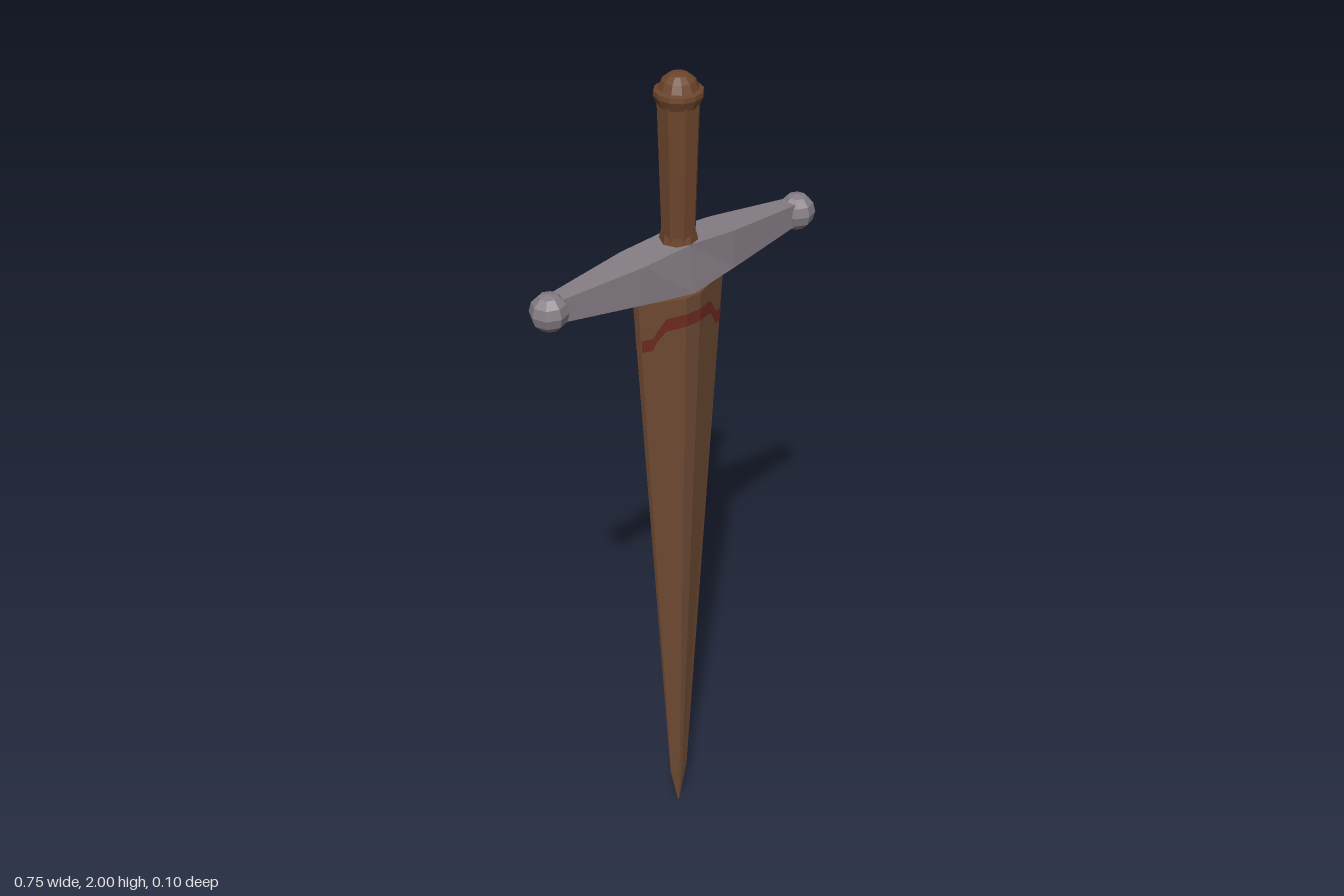
import * as THREE from 'three';

const mat = (name, color, side = THREE.FrontSide) => {
  const m = new THREE.MeshStandardMaterial({ color, flatShading: true, side });
  m.name = name;
  return m;
};

// Skin between rings of equal point count, with both ends closed.
function loft(rings) {
  const out = [];
  const tri = (...pts) => pts.forEach((p) => out.push(...p));
  const n = rings[0].length;
  for (let r = 0; r < rings.length - 1; r++) {
    const a = rings[r], b = rings[r + 1];
    for (let i = 0; i < n; i++) {
      const j = (i + 1) % n;
      tri(a[i], a[j], b[j]);
      tri(a[i], b[j], b[i]);
    }
  }
  const first = rings[0], last = rings[rings.length - 1];
  for (let i = 1; i < n - 1; i++) {
    tri(first[0], first[i + 1], first[i]);
    tri(last[0], last[i], last[i + 1]);
  }
  const g = new THREE.BufferGeometry();
  g.setAttribute('position', new THREE.Float32BufferAttribute(out, 3));
  g.computeVertexNormals();
  return g;
}

// Flattened eight-sided section: half width w, half depth d.
const section = (y, w, d) => [
  [-0.17, 1], [0.17, 1], [1, 0.18], [1, -0.18],
  [0.17, -1], [-0.17, -1], [-1, -0.18], [-1, 0.18],
].map(([x, z]) => [x * w, y, z * d]);

export function createModel() {
  const group = new THREE.Group();
  const leather = mat('sheath brown', 0x6f4b34);
  const wood = mat('grip brown', 0x6c452c);
  const steel = mat('guard grey', 0x857d85);
  const bladeMat = mat('blade light grey', 0xb4b4b4);
  const red = mat('band red', 0x702a22, THREE.DoubleSide);
  const add = (name, geo, material, x = 0, y = 0, z = 0) => {
    const m = new THREE.Mesh(geo, material);
    m.name = name;
    m.position.set(x, y, z);
    group.add(m);
    return m;
  };

  // Tapered sheath with a pointed tip
  const top = 1.525, low = 0.11;
  add('sheath', loft([
    section(0, 0.002, 0.002), section(low, 0.025, 0.009), section(top, 0.115, 0.049),
  ]), leather);

  // Short piece of blade between the sheath mouth and the guard
  add('blade', loft([section(1.5, 0.1, 0.035), section(1.56, 0.1, 0.035)]), bladeMat);

  // Painted band that follows the sheath faces, front and back
  const faceZ = (x, y) => {
    const t = (y - low) / (top - low);
    const w = 0.025 + t * 0.09, d = 0.009 + t * 0.04;
    const u = Math.min(Math.abs(x) / w, 1);
    return d * (u < 0.17 ? 1 : 1 - 0.82 * (u - 0.17) / 0.83) + 0.002;
  };
  // x, upper y, lower y for one half of the band
  const half = [[0.019, 1.487, 1.457], [0.06, 1.483, 1.452], [0.078, 1.455, 1.43],
    [0.086, 1.44, 1.41], [0.108, 1.438, 1.41]];
  const line = [...half.map(([x, a, b]) => [-x, a, b]).reverse(), ...half];
  const pos = [];
  for (let i = 0; i < line.length - 1; i++) {
    const [x0, a0, b0] = line[i], [x1, a1, b1] = line[i + 1];
    for (const [x, y] of [[x0, b0], [x1, b1], [x1, a1], [x0, b0], [x1, a1], [x0, a0]]) {
      pos.push(x, y, faceZ(x, y));
    }
  }
  const band = new THREE.BufferGeometry();
  band.setAttribute('position', new THREE.Float32BufferAttribute(pos, 3));
  band.computeVertexNormals();
  add('frontBand', band, red);
  add('backBand', band, red).rotation.y = Math.PI;

  // Cross guard: x, top y, bottom y, top half depth, bottom half depth
  const guard = [[0, 1.64, 1.53, 0.04, 0.05], [0.12, 1.632, 1.544, 0.04, 0.04],
    [0.31, 1.618, 1.566, 0.019, 0.019]];
  const stations = [...guard.slice(1).reverse().map(([x, ...r]) => [-x, ...r]), ...guard];
  add('crossGuard', loft(stations.map(([x, t, b, zt, zb]) => [
    [x, t, zt], [x, b, zb], [x, b, -zb], [x, t, -zt],
  ])), steel);

  // Faceted balls at the guard ends
  for (const s of [-1, 1]) {
    add(s > 0 ? 'leftGuardBall' : 'rightGuardBall',
      new THREE.SphereGeometry(0.041, 8, 6), steel, s * 0.332, 1.59, 0);
  }

  // Eight-sided grip with a small collar
  const grip = new THREE.CylinderGeometry(0.045, 0.036, 0.32, 8);
  grip.rotateY(Math.PI / 8);
  add('grip', grip, wood, 0, 1.79, 0);
  add('gripCollar', new THREE.CylinderGeometry(0.037, 0.041, 0.02, 8), wood, 0, 1.645, 0);

  // Domed pommel with a wider rim
  const profile = [[0, 1.935], [0.043, 1.935], [0.051, 1.955], [0.05, 1.965], [0.041, 1.968],
    [0.034, 1.985], [0.02, 1.996], [0, 2]].map(([x, y]) => new THREE.Vector2(x, y));
  add('pommel', new THREE.LatheGeometry(profile, 12), wood);

  return group;
}
